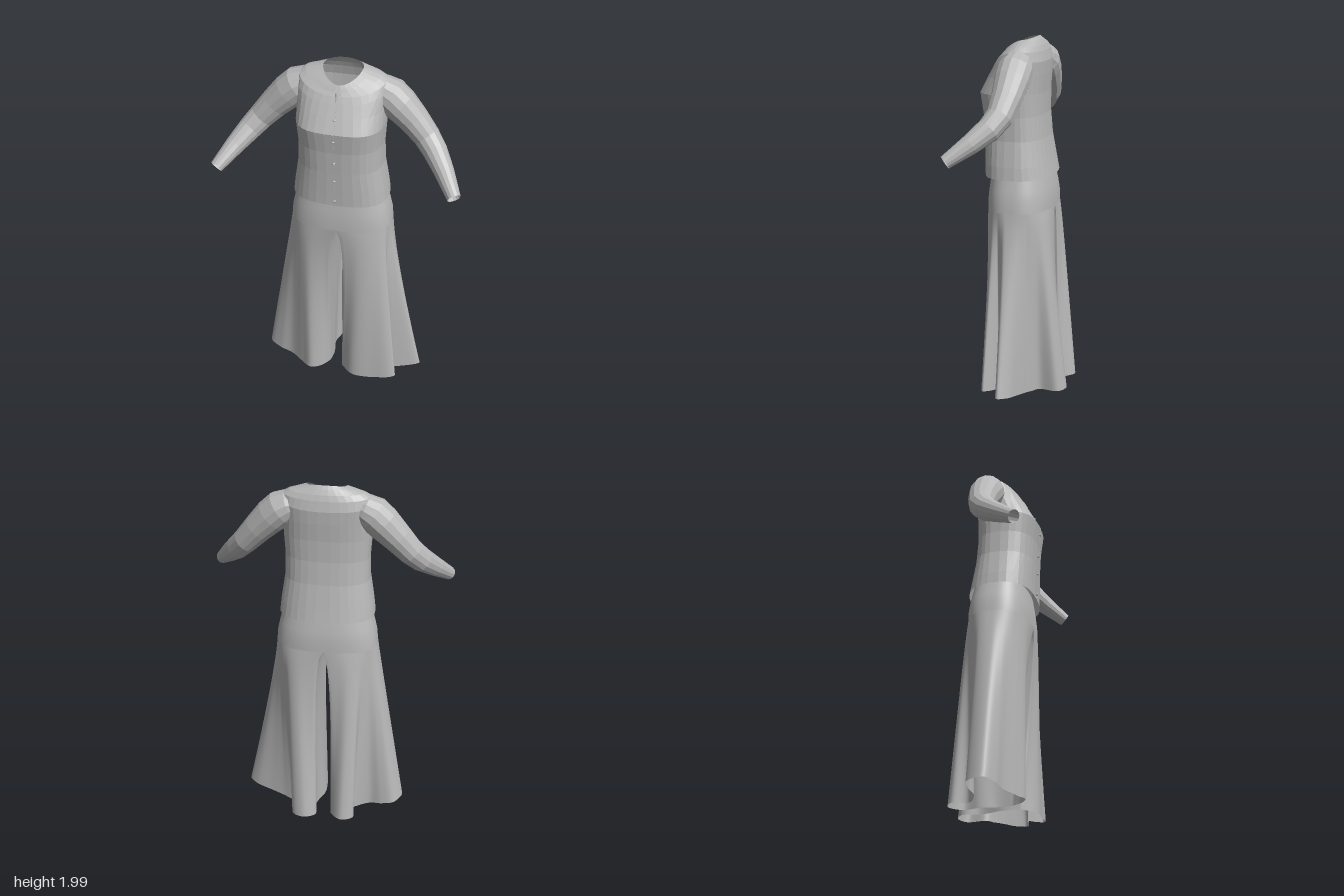
import * as THREE from 'three';

const fabric = new THREE.MeshStandardMaterial({ color: 0xb8b8b8, side: THREE.DoubleSide });
fabric.name = 'grey fabric';
const V = (x, y, z) => new THREE.Vector3(x, y, z);
const mix = THREE.MathUtils.lerp;

// Skin a list of closed rings, each an array of Vector3
function loft(rings, flip = false, flat = false) {
  const n = rings[0].length, idx = [];
  for (let j = 0; j < rings.length - 1; j++) {
    for (let i = 0; i < n; i++) {
      const a = j * n + i, b = j * n + (i + 1) % n, c = a + n, d = b + n;
      if (flip) idx.push(a, b, c, b, d, c);
      else idx.push(a, c, b, b, c, d);
    }
  }
  let geo = new THREE.BufferGeometry().setFromPoints(rings.flat());
  geo.setIndex(idx);
  if (flat) geo = geo.toNonIndexed();
  geo.computeVertexNormals();
  return geo;
}

// Rounded-box point on a horizontal section at angle a
function section(a, w, front, back, zc, power) {
  const c = Math.cos(a), s = Math.sin(a);
  const x = w * Math.sign(c) * Math.abs(c) ** (2 / power);
  const k = Math.abs(s) ** (2 / power);
  return [x, s >= 0 ? zc + k * (front - zc) : zc - k * (zc - back)];
}

function part(name, geo, parent) {
  const mesh = new THREE.Mesh(geo, fabric);
  mesh.name = name;
  parent.add(mesh);
  return mesh;
}

// Jacket rings: height at front, side, back; half width; front z, back z; side z; squareness front, back
const JACKET = [
  [1.24, 1.24, 1.24, 0.265, 0.21, -0.163, 0.02, 2.7, 2.5],
  [1.31, 1.31, 1.31, 0.257, 0.212, -0.15, 0.02, 2.7, 2.5],
  [1.45, 1.45, 1.45, 0.235, 0.218, -0.125, 0.02, 2.7, 2.5],
  [1.58, 1.58, 1.58, 0.232, 0.225, -0.113, 0.02, 2.8, 2.5],
  [1.70, 1.70, 1.70, 0.24, 0.24, -0.112, 0.02, 3.0, 2.5],
  [1.78, 1.80, 1.80, 0.24, 0.198, -0.118, 0.0, 2.7, 2.4],
  [1.84, 1.89, 1.87, 0.245, 0.165, -0.12, -0.01, 2.4, 2.4],
  [1.875, 1.935, 1.925, 0.24, 0.145, -0.107, -0.012, 2.2, 2.2],
  [1.892, 1.957, 1.955, 0.205, 0.133, -0.095, -0.012, 2, 2.1],
  [1.91, 1.973, 1.98, 0.15, 0.122, -0.08, -0.008, 2, 2.1],
  [1.925, 1.985, 2.0, 0.108, 0.112, -0.064, 0.0, 1.8, 2.3],
];

function jacketBody() {
  const n = 32;
  return loft(JACKET.map(([yf, ys, yb, w, f, b, zc, pf, pb]) =>
    Array.from({ length: n }, (_, i) => {
      const a = (i + 0.5) / n * Math.PI * 2, s = Math.sin(a);
      const [x, z] = section(a, w, f, b, zc, s > 0 ? pf : pb);
      return V(x, mix(ys, s > 0 ? yf : yb, Math.abs(s) ** 1.5), z);
    })), false, true);
}

// Sleeve centre line and radius
const SLEEVE = [
  [0.15, 1.88, -0.014, 0.06], [0.2, 1.864, -0.013, 0.084], [0.25, 1.838, -0.012, 0.098],
  [0.302, 1.79, -0.01, 0.096], [0.38, 1.71, -0.005, 0.083], [0.455, 1.625, 0.01, 0.072],
  [0.51, 1.565, 0.05, 0.066], [0.575, 1.495, 0.13, 0.054], [0.65, 1.41, 0.24, 0.037],
];

function sleeve(side) {
  const pts = SLEEVE.map(([x, y, z]) => V(side * x, y, z));
  const n = 14;
  return loft(pts.map((p, j) => {
    const d = pts[Math.min(j + 1, pts.length - 1)].clone().sub(pts[Math.max(j - 1, 0)]).normalize();
    const u = d.clone().cross(V(0, 0, 1)).normalize(), v = d.clone().cross(u);
    return Array.from({ length: n }, (_, i) => {
      const a = i / n * Math.PI * 2, r = SLEEVE[j][3];
      return p.clone().addScaledVector(u, r * Math.cos(a)).addScaledVector(v, r * Math.sin(a));
    });
  }), true, true);
}

// Front surface depth of the jacket at a height
function frontZ(y) {
  let j = 0;
  while (j < JACKET.length - 2 && JACKET[j + 1][0] < y) j++;
  const a = JACKET[j], b = JACKET[j + 1];
  return mix(a[4], b[4], (y - a[0]) / (b[0] - a[0]));
}

// Section shared by the seat and the tops of both legs
const CROTCH = 1.06, HIP = [0.283, 0.192, -0.163, 0.015, 2.6];

// Trouser seat, from the crotch level to the waist
function seat() {
  const rows = [[CROTCH, ...HIP], [1.12, 0.278, 0.192, -0.162, 0.015, 2.6],
    [1.18, 0.265, 0.186, -0.154, 0.015, 2.6], [1.27, 0.24, 0.175, -0.135, 0.015, 2.6]];
  return loft(rows.map(([y, ...dims]) => Array.from({ length: 96 }, (_, i) => {
    const [x, z] = section(i / 96 * Math.PI * 2, ...dims);
    return V(x, y, z);
  })));
}

// Hem outlines (x, z, hip angle in degrees), from the inner front round the outside and back
const HEM_LEFT = [[0.015, 0.11, 90], [0.09, 0.175, 75], [0.22, 0.178, 52], [0.32, 0.172, 34],
  [0.35, 0.15, 27], [0.31, 0.115, 22], [0.255, 0.088, 17], [0.34, 0.072, 11], [0.47, 0.035, 4],
  [0.43, -0.02, -6], [0.32, -0.055, -18], [0.23, -0.085, -30], [0.165, -0.13, -45],
  [0.17, -0.225, -55], [0.1, -0.265, -70], [0.035, -0.23, -85], [0.045, -0.12, -120],
  [0.012, 0, -180], [0.015, 0.11, -270]];
const HEM_RIGHT = [[-0.06, 0.08, 90], [-0.1, 0.14, 78], [-0.16, 0.172, 65], [-0.22, 0.14, 50],
  [-0.3, 0.09, 32], [-0.38, 0.07, 17], [-0.45, 0.02, 3], [-0.41, -0.075, -12],
  [-0.34, -0.085, -22], [-0.26, -0.075, -33], [-0.17, -0.13, -45], [-0.19, -0.215, -55],
  [-0.12, -0.255, -70], [-0.055, -0.2, -85], [-0.07, -0.1, -120], [-0.055, 0, -180],
  [-0.06, 0.08, -270]];

// Flared leg: half of the hip section, opening into the folded hem
function leg(side, hem, flare) {
  const curve = new THREE.CatmullRomCurve3(hem.map(([x, z, deg]) => V(x, deg * Math.PI / 180, z)));
  const outline = curve.getPoints((hem.length - 1) * 8).slice(0, -1);
  const rows = 24, rings = [];
  for (let j = 0; j <= rows; j++) {
    const t = 1 - j / rows, spread = t ** flare;
    const gap = side * 0.035 * Math.sin(Math.PI * Math.sqrt(t));
    rings.push(outline.map(h => {
      const [x, z] = section(h.y, ...HIP);
      const hemY = 0.012 + 0.04 * Math.max(0, Math.abs(h.x) - 0.2) / 0.25;
      const inner = Math.max(0, 1 - Math.abs(h.x) / 0.25);
      return V(mix(side * Math.max(0, x), h.x, spread) + gap * inner, mix(CROTCH, hemY, t), mix(z, h.z, t));
    }));
  }
  return loft(rings, side > 0);
}

export function createModel() {
  const model = new THREE.Group();
  model.name = 'outfit';
  const jacket = new THREE.Group(), trousers = new THREE.Group();
  jacket.name = 'jacket';
  trousers.name = 'trousers';
  model.add(jacket, trousers);

  part('jacketBody', jacketBody(), jacket);
  part('leftSleeve', sleeve(1), jacket);
  part('rightSleeve', sleeve(-1), jacket);

  // Buttons down the front
  for (const y of [1.77, 1.655, 1.515, 1.4, 1.27]) {
    const button = part('button', new THREE.SphereGeometry(0.009, 10, 8), jacket);
    button.position.set(0, y, frontZ(y));
    button.scale.y = 0.7;
  }
  // Closure strip, one straight run between each pair of jacket rings
  for (let j = 0; j < JACKET.length - 1; j++) {
    const y0 = JACKET[j][0], y1 = JACKET[j + 1][0], dz = JACKET[j + 1][4] - JACKET[j][4];
    const strip = part('closureStrip', new THREE.BoxGeometry(0.006, Math.hypot(y1 - y0, dz), 0.005), jacket);
    strip.position.set(0, (y0 + y1) / 2, JACKET[j][4] + dz / 2);
    strip.rotation.x = Math.atan2(dz, y1 - y0);
  }
  // Pull tab below the neckline
  const tab = part('pullTab', new THREE.CylinderGeometry(0.013, 0.004, 0.05, 6), jacket);
  tab.position.set(0, 1.87, frontZ(1.87) + 0.003);
  tab.rotation.x = -0.58;
  tab.scale.z = 0.5;

  part('seat', seat(), trousers);
  part('leftLeg', leg(1, HEM_LEFT, 1.15), trousers);
  part('rightLeg', leg(-1, HEM_RIGHT, 1), trousers);
  return model;
}
